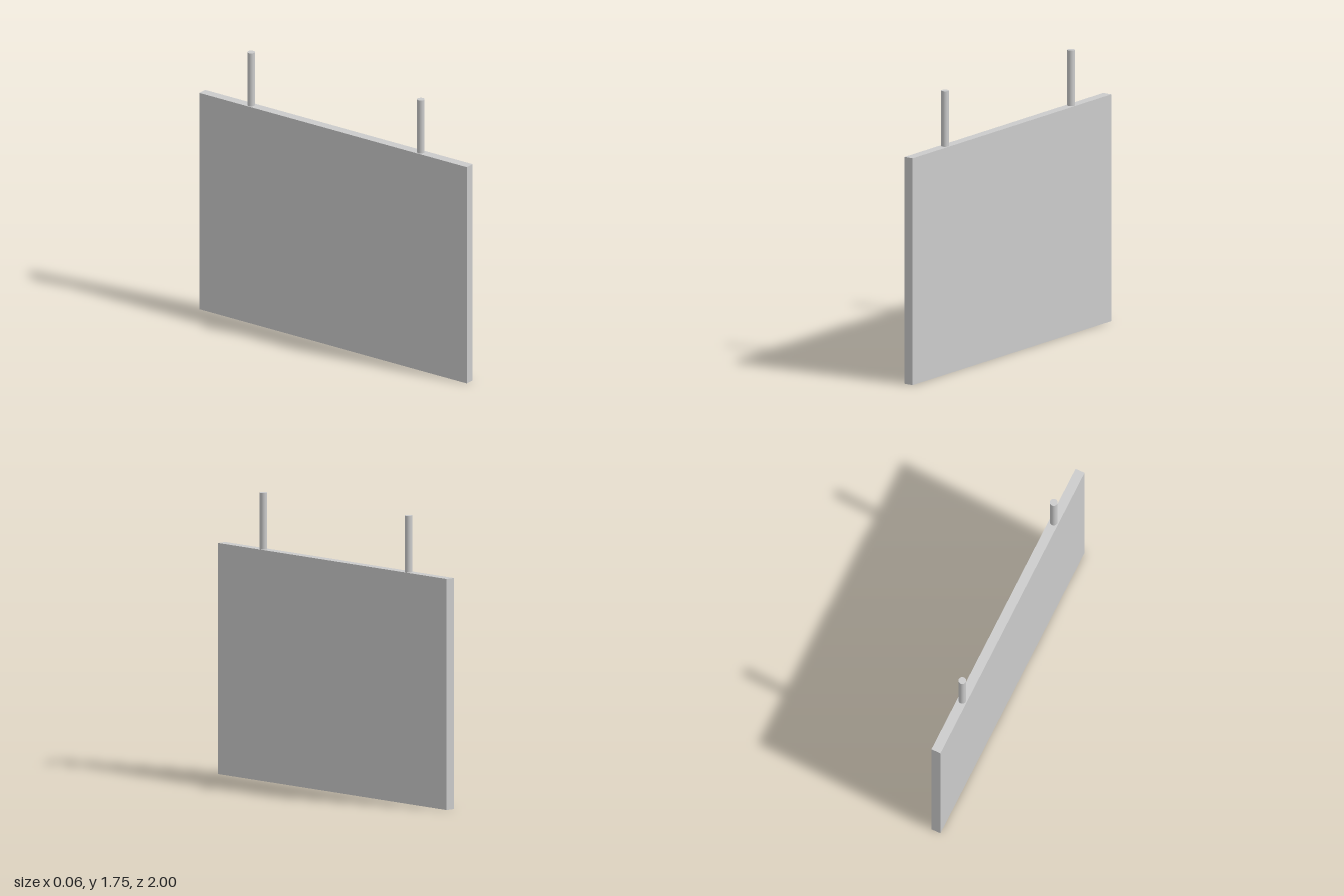
import * as THREE from 'three';

export function createModel() {
  const group = new THREE.Group();
  const material = new THREE.MeshStandardMaterial({ color: 0xcccccc });

  const boardHeight = 1.41, totalHeight = 1.755;

  // Flat hanging board, its broad faces towards the sides
  const board = new THREE.Mesh(new THREE.BoxGeometry(0.06, boardHeight, 2), material);
  board.name = 'board';
  board.position.y = boardHeight / 2;
  group.add(board);

  // Two round hanger rods standing on the top edge
  const rodHeight = totalHeight - boardHeight;
  const rodGeometry = new THREE.CylinderGeometry(0.023, 0.023, rodHeight, 32);
  for (const [name, z] of [['frontRod', 0.635], ['backRod', -0.635]]) {
    const rod = new THREE.Mesh(rodGeometry, material);
    rod.name = name;
    rod.position.set(0, boardHeight + rodHeight / 2, z);
    group.add(rod);
  }

  return group;
}
